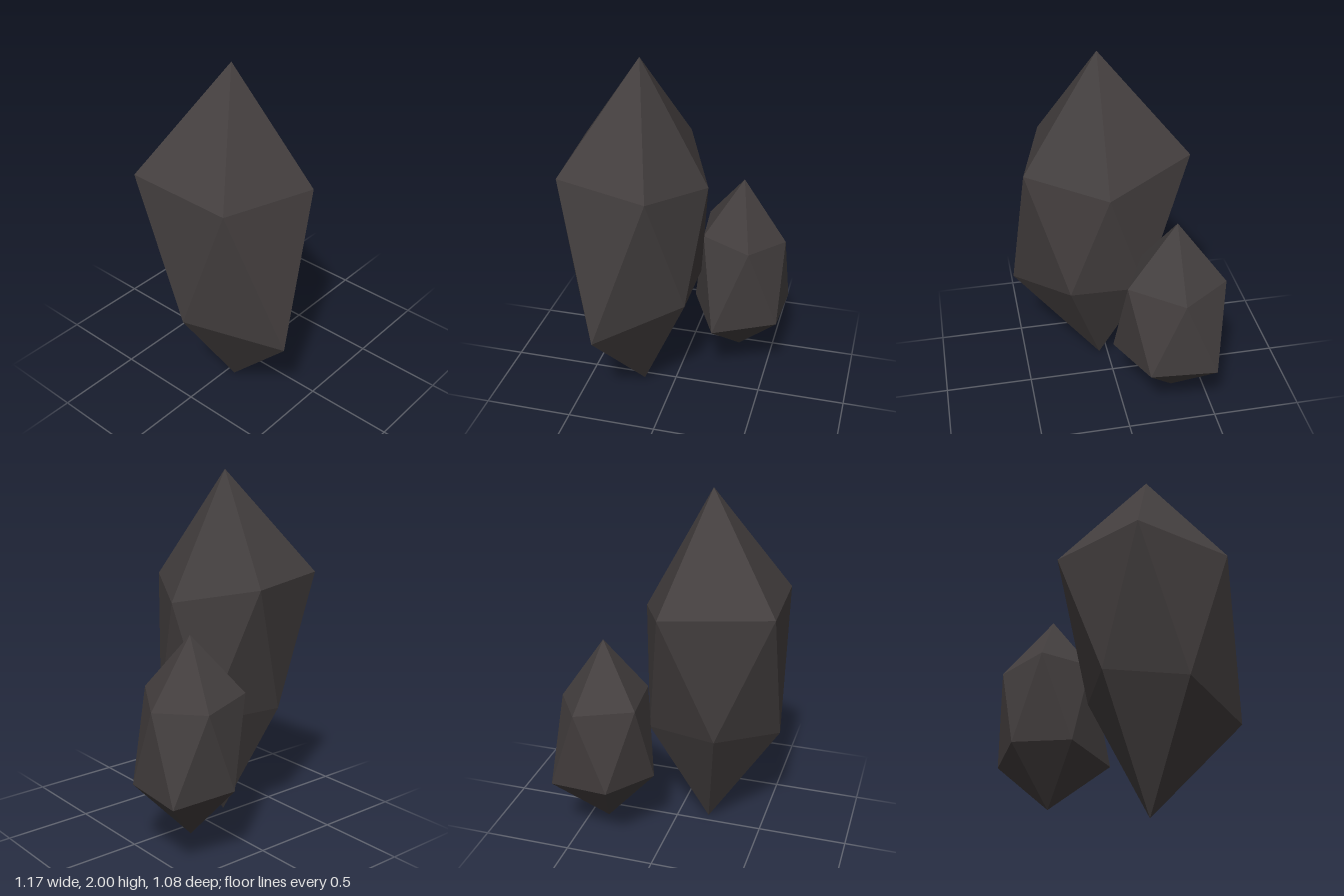
import * as THREE from 'three';

// One pointed crystal: a tip, an upper and a lower ring of five corners, and a base point.
// lower[i] sits between upper[i] and upper[i + 1].
function makeCrystal(name, tip, upper, lower, base, material) {
  const points = [];
  const face = (...corners) => corners.forEach((c) => points.push(...c));
  const n = upper.length;
  for (let i = 0; i < n; i++) {
    const j = (i + 1) % n;
    face(tip, upper[j], upper[i]);
    face(upper[i], upper[j], lower[i]);
    face(upper[j], lower[j], lower[i]);
    face(base, lower[i], lower[j]);
  }
  const geometry = new THREE.BufferGeometry();
  geometry.setAttribute('position', new THREE.Float32BufferAttribute(points, 3));
  geometry.computeVertexNormals();
  const mesh = new THREE.Mesh(geometry, material);
  mesh.name = name;
  return mesh;
}

export function createModel() {
  const darkRock = new THREE.MeshStandardMaterial({ color: 0x443f3f });
  darkRock.name = 'darkRock';
  darkRock.flatShading = true;

  const group = new THREE.Group();
  group.name = 'crystalCluster';

  // Tall crystal
  group.add(makeCrystal(
    'tallCrystal',
    [-0.18, 2, 0.05],
    [[0.19, 1.31, 0.05], [-0.04, 1.38, 0.475], [-0.56, 1.4, 0.33], [-0.59, 1.43, -0.25], [-0.02, 1.43, -0.43]],
    [[0.115, 0.68, 0.26], [-0.33, 0.54, 0.54], [-0.585, 0.63, 0.05], [-0.29, 0.7, -0.29], [0.11, 0.67, -0.16]],
    [-0.18, 0, 0.05],
    darkRock,
  ));

  // Small crystal beside it, towards the back
  group.add(makeCrystal(
    'smallCrystal',
    [0.325, 1.225, -0.28],
    [[0.575, 0.86, -0.28], [0.41, 0.9, 0], [0.125, 0.91, -0.14], [0.095, 0.91, -0.45], [0.41, 0.88, -0.54]],
    [[0.57, 0.41, -0.1], [0.22, 0.38, 0.04], [0.05, 0.43, -0.28], [0.24, 0.43, -0.54], [0.585, 0.395, -0.47]],
    [0.325, 0.12, -0.28],
    darkRock,
  ));

  return group;
}
